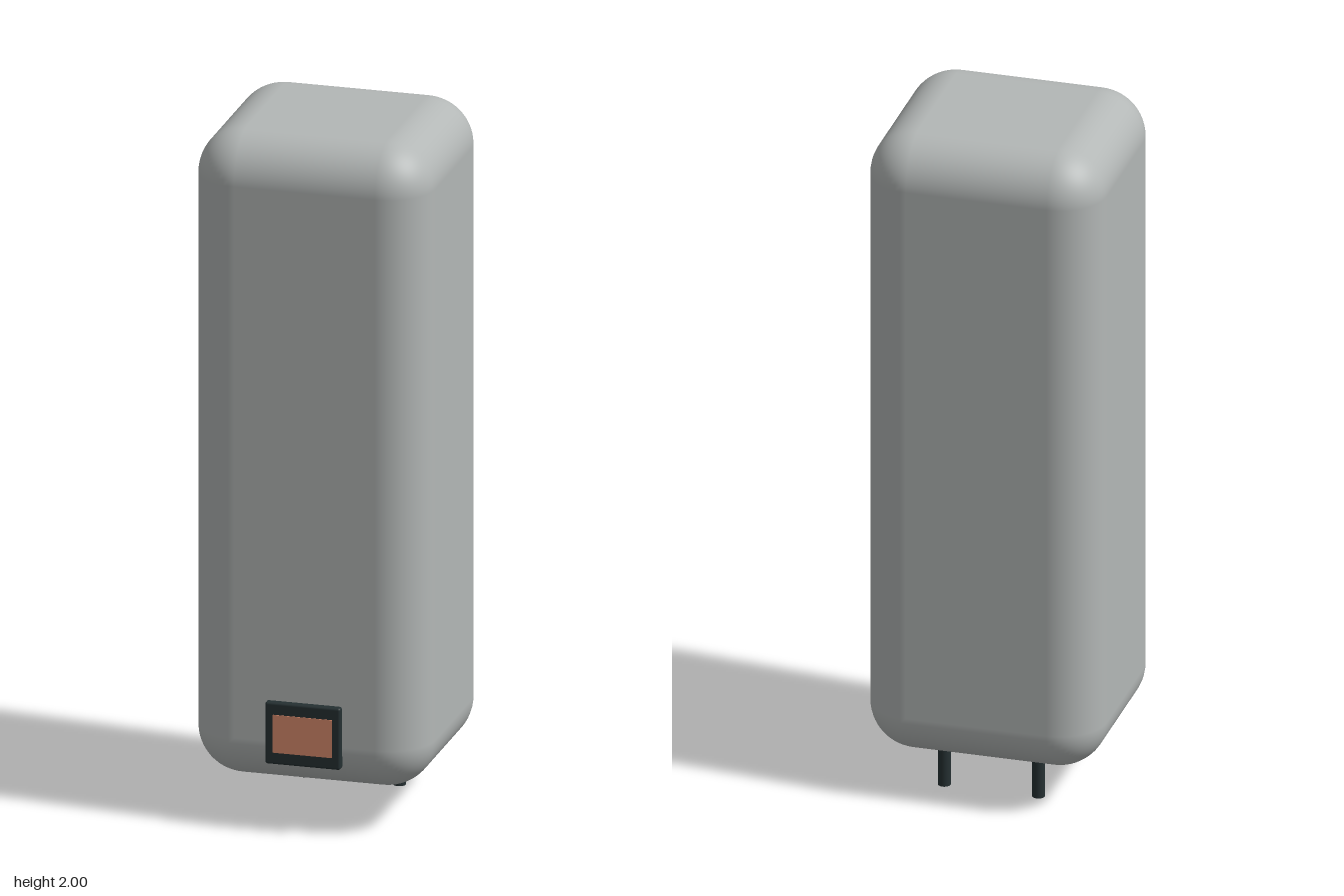
import * as THREE from 'three';
import { RoundedBoxGeometry } from 'three/addons/geometries/RoundedBoxGeometry.js';

export function createModel() {
  const model = new THREE.Group();
  model.name = 'roundedCabinet';

  const material = (name, color) => {
    const m = new THREE.MeshStandardMaterial({ color });
    m.name = name;
    return m;
  };
  const grey = material('shellGrey', 0xb3b7b6);
  const dark = material('darkTrim', 0x253032);
  const copper = material('copperScreen', 0xd78a6c);

  const add = (name, geometry, mat, x, y, z) => {
    const mesh = new THREE.Mesh(geometry, mat);
    mesh.name = name;
    mesh.position.set(x, y, z);
    model.add(mesh);
    return mesh;
  };

  // Tall shell with generously rounded edges
  add('shell', new RoundedBoxGeometry(0.674, 1.875, 0.63, 8, 0.135), grey, 0, 1.0625, -0.01);

  // Display frame low on the front, with a thin inset screen
  add('displayFrame', new RoundedBoxGeometry(0.216, 0.18, 0.03, 3, 0.007), dark, 0, 0.29, 0.308);
  add('displayScreen', new THREE.BoxGeometry(0.17, 0.11, 0.004), copper, 0, 0.29, 0.323);

  // Two contact pins under the rear, their tops sunk into the shell
  for (const [name, side] of [['leftPin', 1], ['rightPin', -1]]) {
    add(name, new THREE.CylinderGeometry(0.018, 0.018, 0.16, 24), dark, side * 0.135, 0.08, -0.173);
  }

  return model;
}
